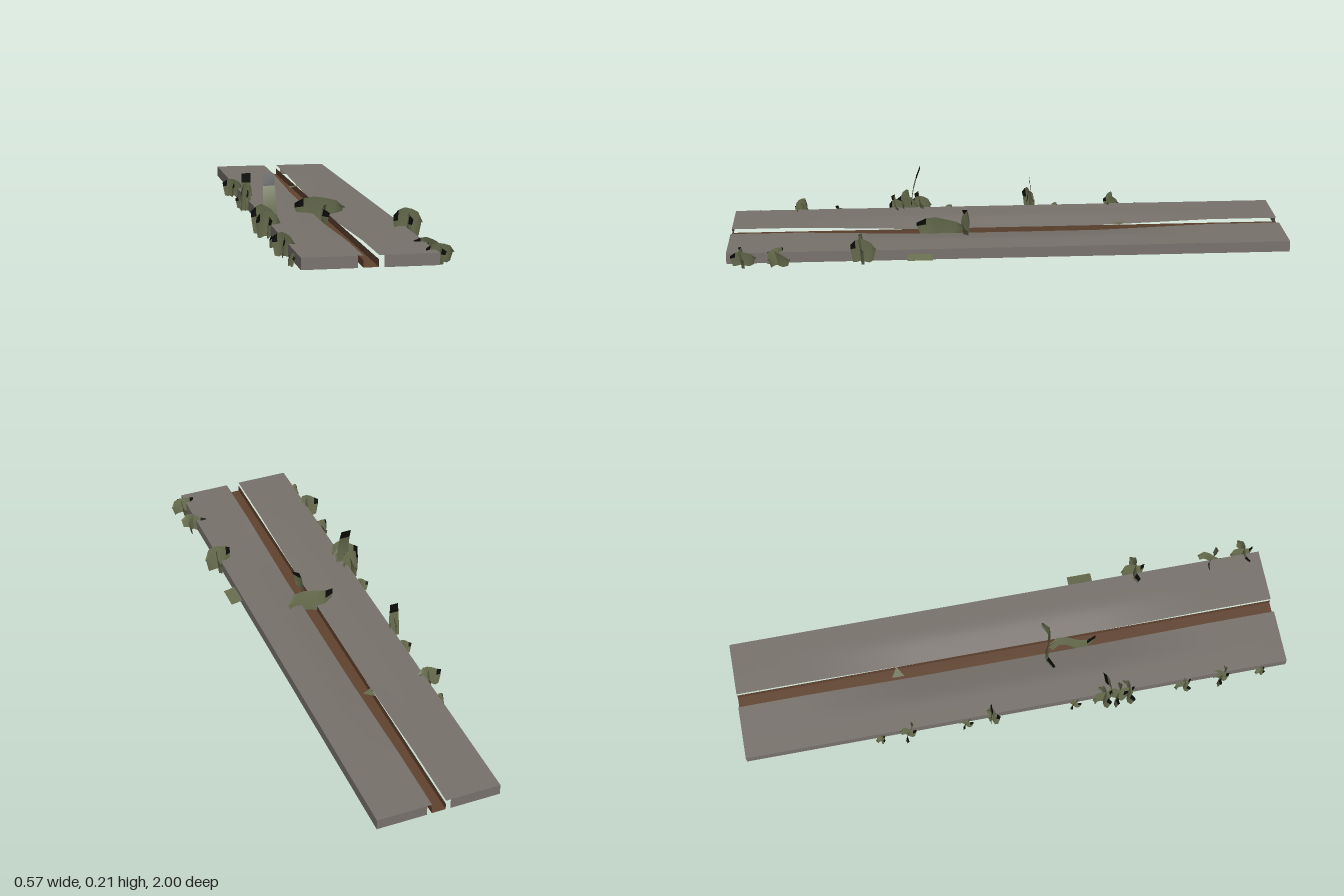
import * as THREE from 'three';

const material = (name, color) => new THREE.MeshStandardMaterial({ name, color, side: THREE.DoubleSide });

export function createModel() {
  const model = new THREE.Group();
  const concrete = material('concrete', 0x78726c);
  const rust = material('rust', 0x60432f);
  const leaf = material('leaf', 0x696f50);
  const shade = material('leafTip', 0x0c0d0a);
  const TOP = 0.052, BASE = 0.013;

  const add = (parent, name, geometry, mat) => {
    const mesh = new THREE.Mesh(geometry, mat);
    mesh.name = name;
    parent.add(mesh);
    return mesh;
  };

  // Upright sheet between two plan points
  const wall = (parent, name, x0, z0, x1, z1, y0, y1, mat) => {
    const mesh = add(parent, name, new THREE.PlaneGeometry(Math.hypot(x1 - x0, z1 - z0), y1 - y0), mat);
    mesh.position.set((x0 + x1) / 2, (y0 + y1) / 2, (z0 + z1) / 2);
    mesh.rotation.y = Math.atan2(z0 - z1, x1 - x0);
  };

  // Hollow slabs whose tops dip gently toward the channel
  const slab = (name, outer, inner, lip) => {
    const group = new THREE.Group();
    group.name = name;
    const width = Math.abs(lip - outer);
    const top = new THREE.PlaneGeometry(width, 2, 8, 24).rotateX(-Math.PI / 2);
    top.translate((outer + lip) / 2, TOP, 0);
    const p = top.attributes.position;
    for (let i = 0; i < p.count; i++) {
      const across = Math.max(0, 1 - Math.abs(p.getX(i) - lip) / 0.09);
      const along = Math.max(0, 1 - Math.abs(p.getZ(i)) / 0.75);
      p.setY(i, TOP - 0.014 * across * Math.min(1, along * 1.8));
    }
    top.computeVertexNormals();
    add(group, 'slabTop', top, concrete);
    wall(group, 'outerWall', outer, 1, outer, -1, BASE, TOP, concrete);
    for (const z of [1, -1]) wall(group, 'endWall', outer, z, inner, z, BASE, TOP, concrete);
    model.add(group);
  };
  slab('rightSlab', -0.225, -0.045, -0.028);
  slab('leftSlab', 0.217, 0.039, 0.022);

  // Rusty drain channel between the slabs
  const channel = new THREE.Group();
  channel.name = 'channel';
  const floor = add(channel, 'channelFloor', new THREE.PlaneGeometry(0.05, 2).rotateX(-Math.PI / 2), rust);
  floor.position.set(-0.003, 0.014, 0);
  for (const x of [-0.028, 0.022]) wall(channel, 'channelWall', x, 1, x, -1, 0.014, 0.038, rust);
  model.add(channel);

  // Ragged leaf card: low at both ends, arched on top, one dark tip
  const card = (w, h, lean = 0) => {
    const columns = 5, positions = [], index = [];
    const tops = [0.78, 0.92, 1, 0.96, 0.86, 0.5];
    const feet = [0.04, 0, 0.07, 0.05, 0.02, 0.08];
    for (let i = 0; i <= columns; i++) {
      const u = i / columns - 0.5;
      const bend = 0.1 * w * Math.sin(u * 6);
      positions.push(u * w * 0.8, feet[i] * h, bend);
      positions.push(u * w * 0.98, 0.58 * h, bend + lean * 0.4);
      positions.push(u * w, tops[i] * h, bend + lean);
    }
    for (let i = 0; i < columns; i++) {
      for (let j = 1; j >= 0; j--) {
        const a = i * 3 + j, b = a + 3;
        index.push(a, b, b + 1, a, b + 1, a + 1);
      }
    }
    const g = new THREE.BufferGeometry();
    g.setAttribute('position', new THREE.Float32BufferAttribute(positions, 3));
    g.setIndex(index);
    g.computeVertexNormals();
    g.addGroup(0, 6, 1);
    g.addGroup(6, index.length - 6, 0);
    return g;
  };

  // Weeds are two crossed cards
  const weed = (x, z, bottom, top, wx, wz, turn = 0.2) => {
    const group = new THREE.Group();
    group.name = 'weed';
    const h = top - bottom;
    if (wx) add(group, 'broadLeaf', card(wx, h, 0.01), [leaf, shade]).rotation.y = turn;
    if (wz) add(group, 'crossLeaf', card(wz, h * 0.85, 0.008), [leaf, shade]).rotation.y = Math.PI / 2 + turn * 0.7;
    group.position.set(x, bottom, z);
    model.add(group);
  };

  // x, z, bottom, top, width, depth, turn
  [
    [-0.24, -0.51, 0.006, 0.05, 0.03, 0.035, 0.5],
    [-0.24, -0.41, 0.02, 0.09, 0.08, 0.06, -0.25],
    [-0.235, -0.2, 0.006, 0.055, 0.05, 0.06, -0.5],
    [-0.24, -0.1, 0.015, 0.12, 0.06, 0.03, 0.8],
    [-0.235, 0.2, 0.01, 0.055, 0.05, 0.06, -0.6],
    [-0.24, 0.31, 0.01, 0.11, 0.08, 0.08, 0.4],
    [-0.24, 0.36, 0.01, 0.115, 0.09, 0.08, -0.2],
    [-0.235, 0.4, 0.005, 0.1, 0.09, 0.06, 0.3],
    [-0.24, 0.61, 0.01, 0.06, 0.06, 0.07, 0.5],
    [-0.235, 0.75, 0.006, 0.09, 0.08, 0.06, -0.4],
    [-0.24, 0.9, 0.006, 0.05, 0.025, 0.04, 0.5],
    [0.225, 0.52, 0.01, 0.118, 0.105, 0.09, 0.15],
    [0.227, 0.82, 0.006, 0.07, 0.1, 0.1, -0.5],
    [0.228, 0.94, 0.008, 0.074, 0.1, 0.09, 0.25],
    [-0.008, 0.145, 0.014, 0.102, 0.185, 0, 0.08],
    [-0.013, 0.24, 0.014, 0.1, 0, 0.18, 0.06],
  ].forEach((w) => weed(...w));

  // Tall bent stalks
  const stalk = (x, z, bottom, top, w, lean) => {
    const g = new THREE.PlaneGeometry(w, top - bottom, 1, 4).translate(0, (top - bottom) / 2, 0);
    const p = g.attributes.position;
    for (let i = 0; i < p.count; i++) {
      const t = p.getY(i) / (top - bottom);
      p.setZ(i, lean * (t * t - 0.3));
      p.setX(i, p.getX(i) * (1.3 - 0.3 * t));
    }
    g.computeVertexNormals();
    g.addGroup(0, 6, 1);
    g.addGroup(6, 18, 0);
    add(model, 'stalk', g, [leaf, shade]).position.set(x, bottom, z);
  };
  stalk(-0.217, 0.335, 0.05, 0.214, 0.038, -0.035);
  stalk(-0.235, -0.105, 0.015, 0.155, 0.032, 0.008);

  // Fallen leaf beside the slab and a sprig in the channel
  const fallen = add(model, 'fallenLeaf', new THREE.PlaneGeometry(0.045, 0.09, 1, 2).rotateX(-Math.PI / 2), leaf);
  fallen.position.set(0.237, 0.03, 0.32);
  fallen.rotation.z = -0.2;
  const sprig = add(model, 'sprig', new THREE.CircleGeometry(0.026, 3).rotateX(-Math.PI / 2), leaf);
  sprig.position.set(-0.008, 0.052, -0.41);
  sprig.rotation.z = 0.15;

  return model;
}
